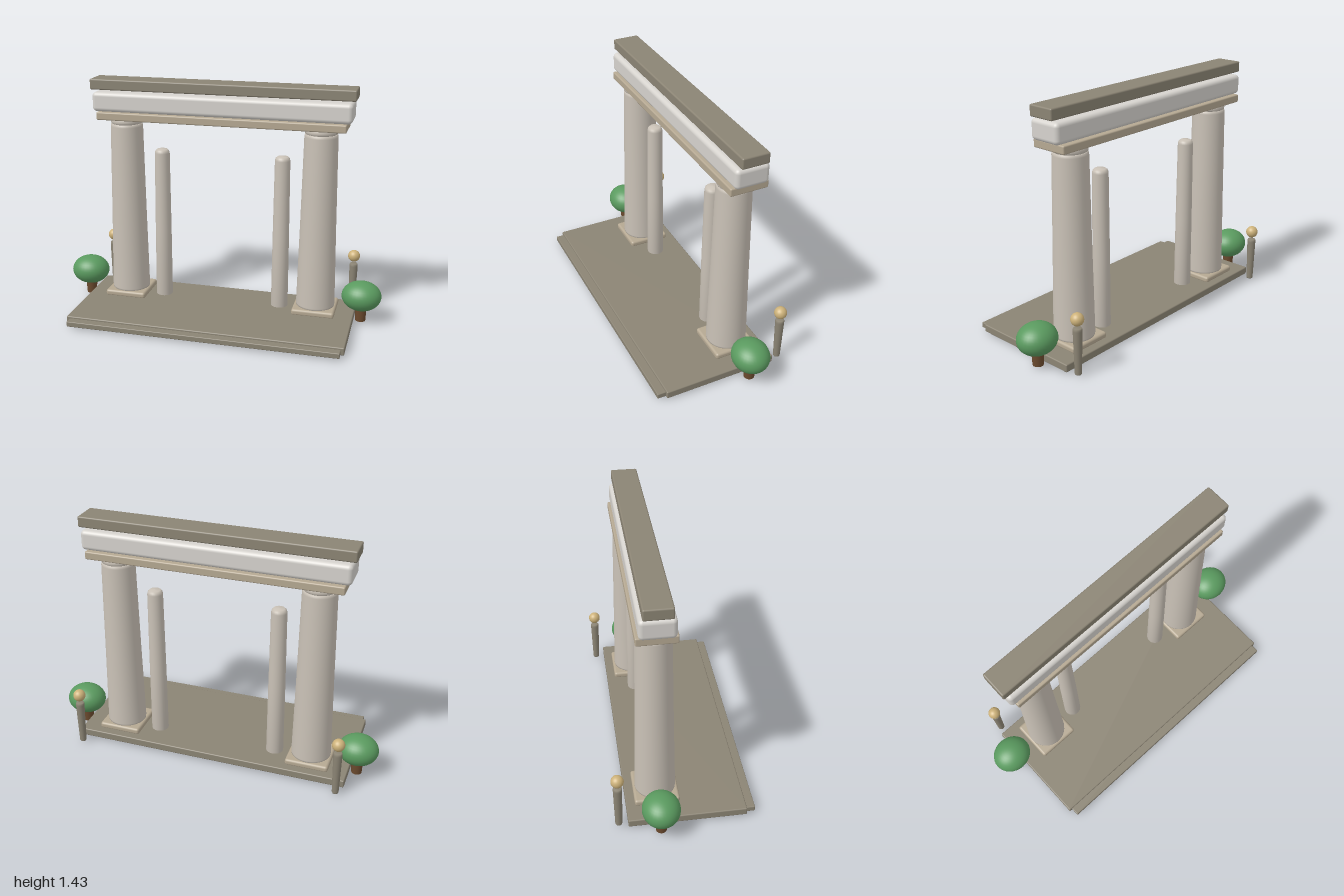
import * as THREE from 'three';
import { RoundedBoxGeometry } from 'three/addons/geometries/RoundedBoxGeometry.js';

const mat = (color) => new THREE.MeshStandardMaterial({ color });
const stone = mat(0xc9c1b6), paleStone = mat(0xd6d3ce), tanStone = mat(0xb5a892);
const darkStone = mat(0x8b8474), leaf = mat(0x5a9a5f), bark = mat(0x6b4a2e), brass = mat(0xcdb27a);
const Z = -0.14; // depth line shared by columns, beams and trees

export function createModel() {
  const model = new THREE.Group();

  const add = (name, geometry, material, x, y, z) => {
    const mesh = new THREE.Mesh(geometry, material);
    mesh.name = name;
    mesh.position.set(x, y, z);
    model.add(mesh);
    return mesh;
  };
  // Rounded block given by width, bottom, top, back and front
  const block = (name, material, x, w, y0, y1, z0, z1, r) =>
    add(name, new RoundedBoxGeometry(w, y1 - y0, z1 - z0, 3, r), material, x, (y0 + y1) / 2, (z0 + z1) / 2);
  // Turned part from [radius, height] pairs
  const turned = (name, material, profile, x, z, sides = 40) =>
    add(name, new THREE.LatheGeometry(profile.map(([r, y]) => new THREE.Vector2(r, y)), sides), material, x, 0, z);

  // Floor slab, front step and the panel beneath
  block('floorSlab', darkStone, 0, 1.68, 0.01, 0.057, -0.32, 0.36, 0.007);
  block('frontStep', darkStone, 0, 1.64, 0.012, 0.045, 0.2, 0.41, 0.005);
  block('undersidePanel', tanStone, 0, 0.72, 0.004, 0.03, 0.03, 0.3, 0.004);

  // Stacked beams
  block('lowerBeam', tanStone, 0, 1.51, 1.192, 1.24, Z - 0.112, Z + 0.112, 0.008);
  block('frieze', paleStone, 0, 1.57, 1.24, 1.358, Z - 0.098, Z + 0.1, 0.025);
  block('topBeam', darkStone, 0, 1.604, 1.37, 1.435, Z - 0.079, Z + 0.081, 0.009);

  for (const [side, s] of [['left', 1], ['right', -1]]) {
    // Main column on its plinth
    block(side + 'Plinth', tanStone, s * 0.6, 0.26, 0.05, 0.09, Z - 0.13, Z + 0.13, 0.015);
    turned(side + 'Column', stone,
      [[0, 0.085], [0.117, 0.085], [0.118, 0.1], [0.108, 0.6], [0.099, 1.145], [0.096, 1.158], [0.09, 1.163], [0, 1.163]],
      s * 0.6, Z);
    turned(side + 'Collar', stone,
      [[0, 1.16], [0.088, 1.16], [0.095, 1.165], [0.097, 1.176], [0.096, 1.188], [0.092, 1.195], [0, 1.195]],
      s * 0.6, Z);
    add(side + 'ColumnFoot', new THREE.CylinderGeometry(0.07, 0.07, 0.03, 24), paleStone, s * 0.6, 0.015, Z);

    // Slim inner pillar
    turned(side + 'Pillar', stone,
      [[0, 0.05], [0.052, 0.05], [0.05, 0.5], [0.046, 0.985], [0.042, 1.0], [0.032, 1.009], [0, 1.012]],
      s * 0.375, Z, 28);

    // Round tree
    add(side + 'TreeTrunk', new THREE.CylinderGeometry(0.036, 0.031, 0.1, 20), bark, s * 0.88, 0.06, Z);
    add(side + 'TreeCrown', new THREE.SphereGeometry(1, 32, 20), leaf, s * 0.88, 0.17, Z)
      .scale.set(0.12, 0.091, 0.108);

    // Post with a ball
    turned(side + 'Post', darkStone,
      [[0, 0.01], [0.018, 0.01], [0.02, 0.015], [0.026, 0.27], [0.026, 0.28], [0.022, 0.287], [0, 0.287]],
      s * 0.803, -0.372, 20);
    add(side + 'PostBall', new THREE.SphereGeometry(0.037, 24, 16), brass, s * 0.803, 0.337, -0.372);
  }
  return model;
}
